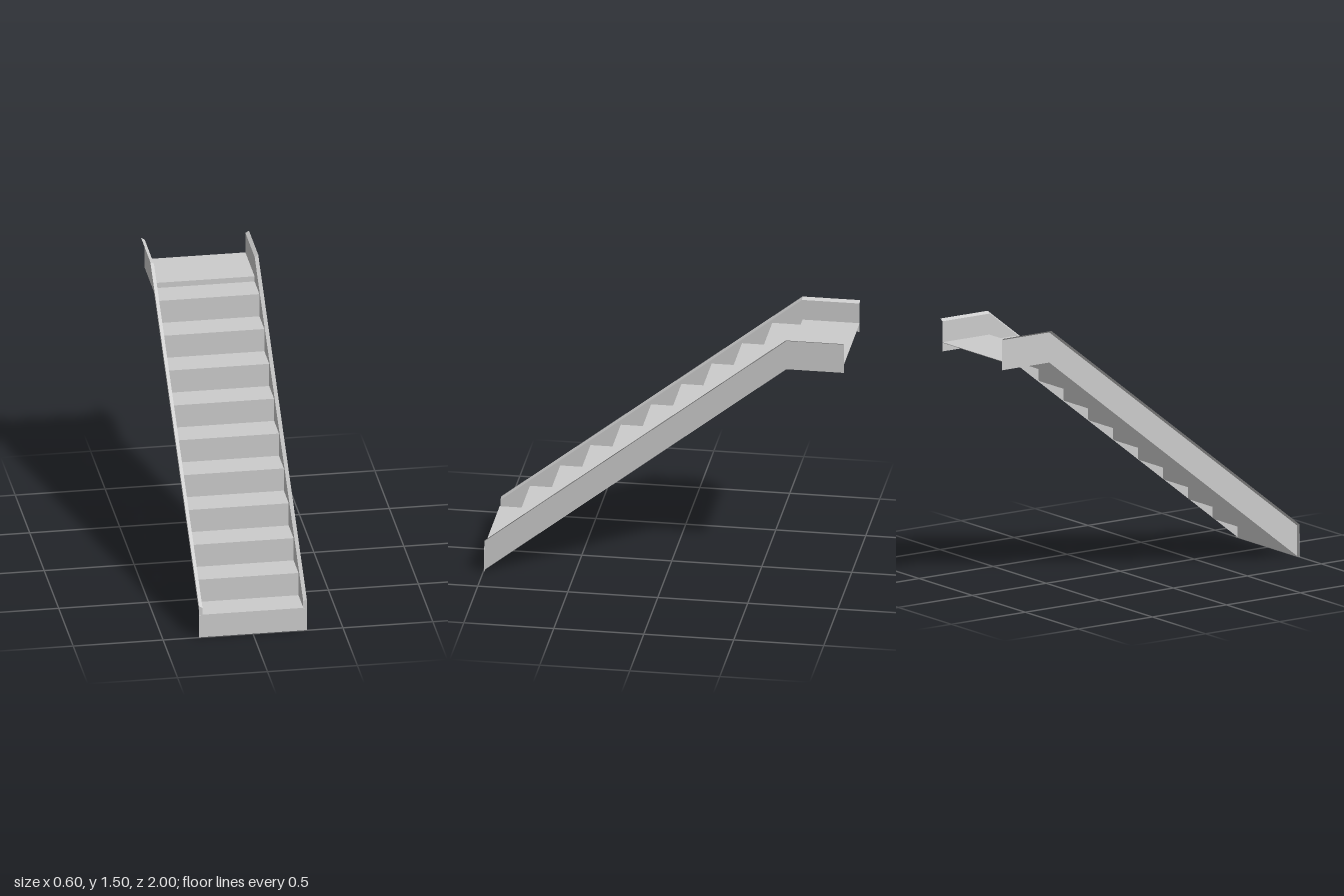
import * as THREE from 'three';

const material = new THREE.MeshStandardMaterial({ color: 0xcccccc, flatShading: true, side: THREE.DoubleSide });

const STEPS = 10, RUN = 0.1683, RISE = 0.134;
const INNER = 0.28, OUTER = 0.3, SHEET = 0.003;

function box(name, w, h, d, x, y, z) {
  const mesh = new THREE.Mesh(new THREE.BoxGeometry(w, h, d), material);
  mesh.name = name;
  mesh.position.set(x, y, z);
  return mesh;
}

// Thin sheet strip between two rails of equal length
function strip(name, railA, railB) {
  const positions = [], index = [];
  railA.forEach((a, i) => {
    positions.push(...a, ...railB[i]);
    if (i > 0) {
      const k = 2 * i;
      index.push(k - 2, k - 1, k, k - 1, k + 1, k);
    }
  });
  const geometry = new THREE.BufferGeometry();
  geometry.setAttribute('position', new THREE.Float32BufferAttribute(positions, 3));
  geometry.setIndex(index);
  geometry.computeVertexNormals();
  const mesh = new THREE.Mesh(geometry, material);
  mesh.name = name;
  return mesh;
}

// Side plate with flanges folded outward along its top and front edges
function createStringer(side, name) {
  const group = new THREE.Group();
  group.name = name;
  const top = [[0.995, 0.175], [-0.68, 1.492], [-1, 1.492]]; // z, y
  const bottom = [[0.995, 0.003], [-0.68, 1.322], [-1, 1.322]];
  const at = (x, dy = 0) => ([z, y]) => [side * x, y + dy, z];

  group.add(strip('sidePlate', bottom.map(at(INNER)), top.map(at(INNER))));
  group.add(strip('topFlange', top.map(at(INNER)), top.map(at(OUTER, 0.012))));
  const front = [bottom[0], top[0]];
  group.add(strip('frontFlange', front.map(at(INNER)),
    [at(OUTER)(bottom[0]), at(OUTER, 0.012)(top[0])]));
  return group;
}

export function createModel() {
  const model = new THREE.Group();
  model.name = 'staircase';

  // Treads with a shallow nosing, each above a set-back riser
  for (let i = 0; i < STEPS; i++) {
    const z = 1 - i * RUN, y = (i + 1) * RISE + 0.003;
    const step = new THREE.Group();
    step.name = 'step' + (i + 1);
    step.add(box('tread', 2 * INNER, 0.009, RUN, 0, y - 0.0045, z - RUN / 2));
    const width = i === 0 ? 2 * OUTER : 2 * INNER;
    const base = i * RISE;
    step.add(box('riser', width, y - base - 0.004, SHEET, 0, (y - 0.004 + base) / 2, z - 0.004));
    model.add(step);
  }

  // Landing sheet and its short riser
  const landingFront = 1 - STEPS * RUN, landingTop = 1.374;
  const depth = landingFront + 1;
  model.add(box('landing', 2 * INNER, SHEET, depth, 0, landingTop - SHEET / 2, landingFront - depth / 2));
  const base = STEPS * RISE;
  model.add(box('landingRiser', 2 * INNER, landingTop - base, SHEET, 0,
    (landingTop + base) / 2, landingFront - SHEET / 2));

  model.add(createStringer(1, 'leftStringer'), createStringer(-1, 'rightStringer'));
  return model;
}
